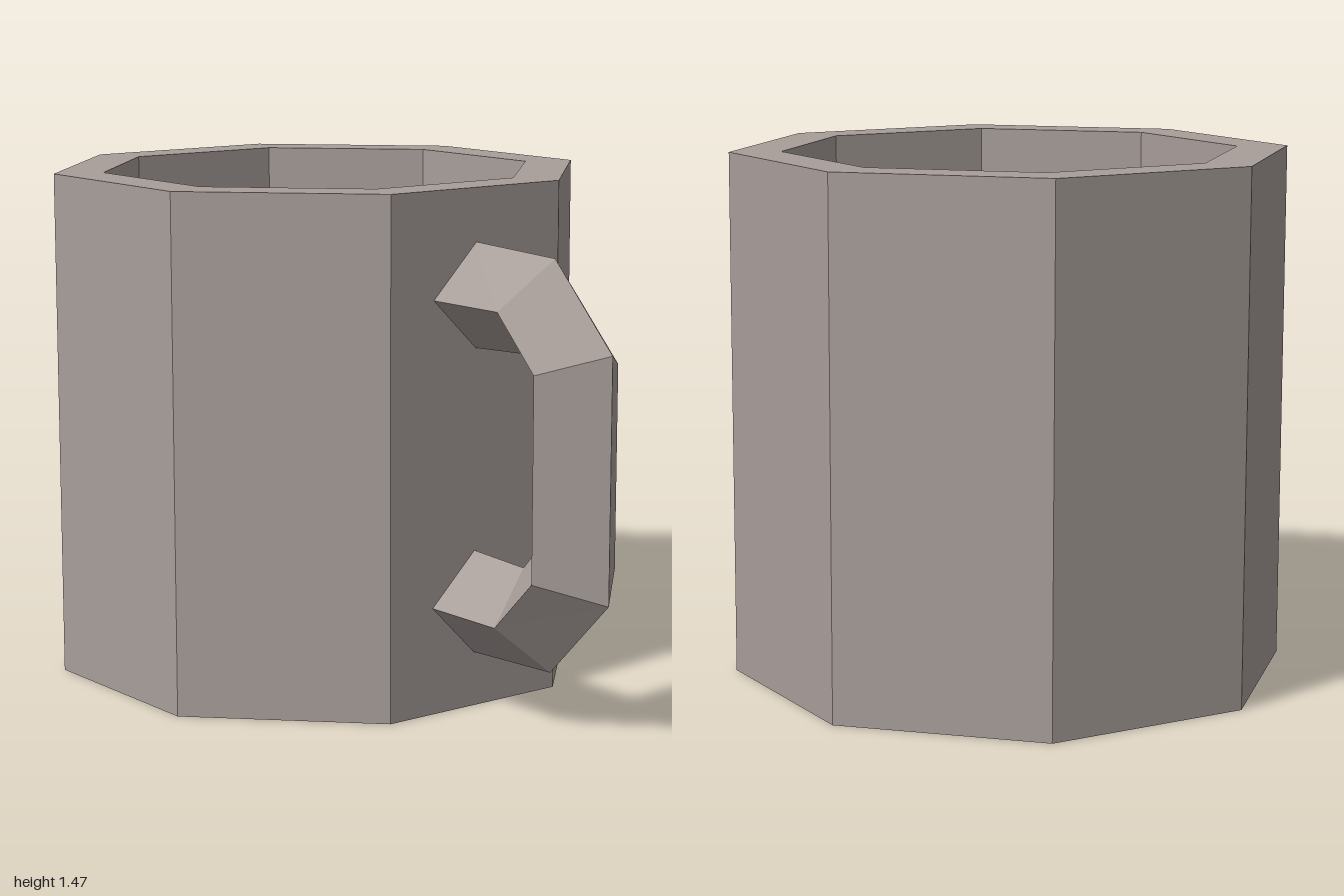
import * as THREE from 'three';

const CUP_X = -0.2775;            // centre of the cup body
const HEIGHT = 1.47;
const LIQUID_Y = 0.95;
const SIDES = 8;
const corner = (apothem) => apothem / Math.cos(Math.PI / SIDES);
const OUTER = corner(0.7225), INNER = corner(0.59);

const ceramic = new THREE.MeshStandardMaterial({ color: 0xa89e9a, flatShading: true });
const coffee = new THREE.MeshStandardMaterial({ color: 0x3c2414, flatShading: true });

// Diamond-section handle: each ring is [outer, front, inner, back]
function handleGeometry() {
  const half = 0.15, midY = 0.738;
  // upper half of the bend: [outer], [middle], [inner] as x, y
  const upper = [
    [[0.44, 1.32], [0.44, 1.17], [0.44, 1.025]],
    [[0.77, 1.307], [0.71, 1.17], [0.655, 1.035]],
    [[1.0, 1.075], [0.86, 1.02], [0.72, 0.965]],
  ];
  const mirrored = upper.map((s) => s.map(([x, y]) => [x, 2 * midY - y])).reverse();
  const rings = [...upper, ...mirrored].map(([o, m, i]) => [
    [...o, 0], [...m, half], [...i, 0], [...m, -half],
  ]);
  const index = [];
  for (let r = 0; r < rings.length - 1; r++) {
    for (let k = 0; k < 4; k++) {
      const a = r * 4 + k, b = r * 4 + (k + 1) % 4;
      index.push(a, b, b + 4, a, b + 4, a + 4);
    }
  }
  const geometry = new THREE.BufferGeometry();
  geometry.setAttribute('position', new THREE.Float32BufferAttribute(rings.flat(2), 3));
  geometry.setIndex(index);
  const flat = geometry.toNonIndexed();
  flat.computeVertexNormals();
  return flat;
}

export function createModel() {
  const group = new THREE.Group();
  group.name = 'mug';
  const add = (name, geometry, material) => {
    const mesh = new THREE.Mesh(geometry, material);
    mesh.name = name;
    group.add(mesh);
    return mesh;
  };

  // Octagonal cup: base, outer wall, rim, inner wall and floor
  const profile = [
    [0, 0], [OUTER, 0], [OUTER, HEIGHT], [INNER, HEIGHT], [INNER, 0.13], [0, 0.13],
  ].map(([x, y]) => new THREE.Vector2(x, y));
  const cup = add('cup', new THREE.LatheGeometry(profile, SIDES), ceramic);
  cup.position.x = CUP_X;
  cup.rotation.y = Math.PI / SIDES;

  // Drink surface inside the cup
  const surface = new THREE.CircleGeometry(INNER, SIDES).rotateX(-Math.PI / 2);
  const drink = add('drink', surface, coffee);
  drink.position.set(CUP_X, LIQUID_Y, 0);
  drink.rotation.y = Math.PI / SIDES;

  add('handle', handleGeometry(), ceramic);
  return group;
}
